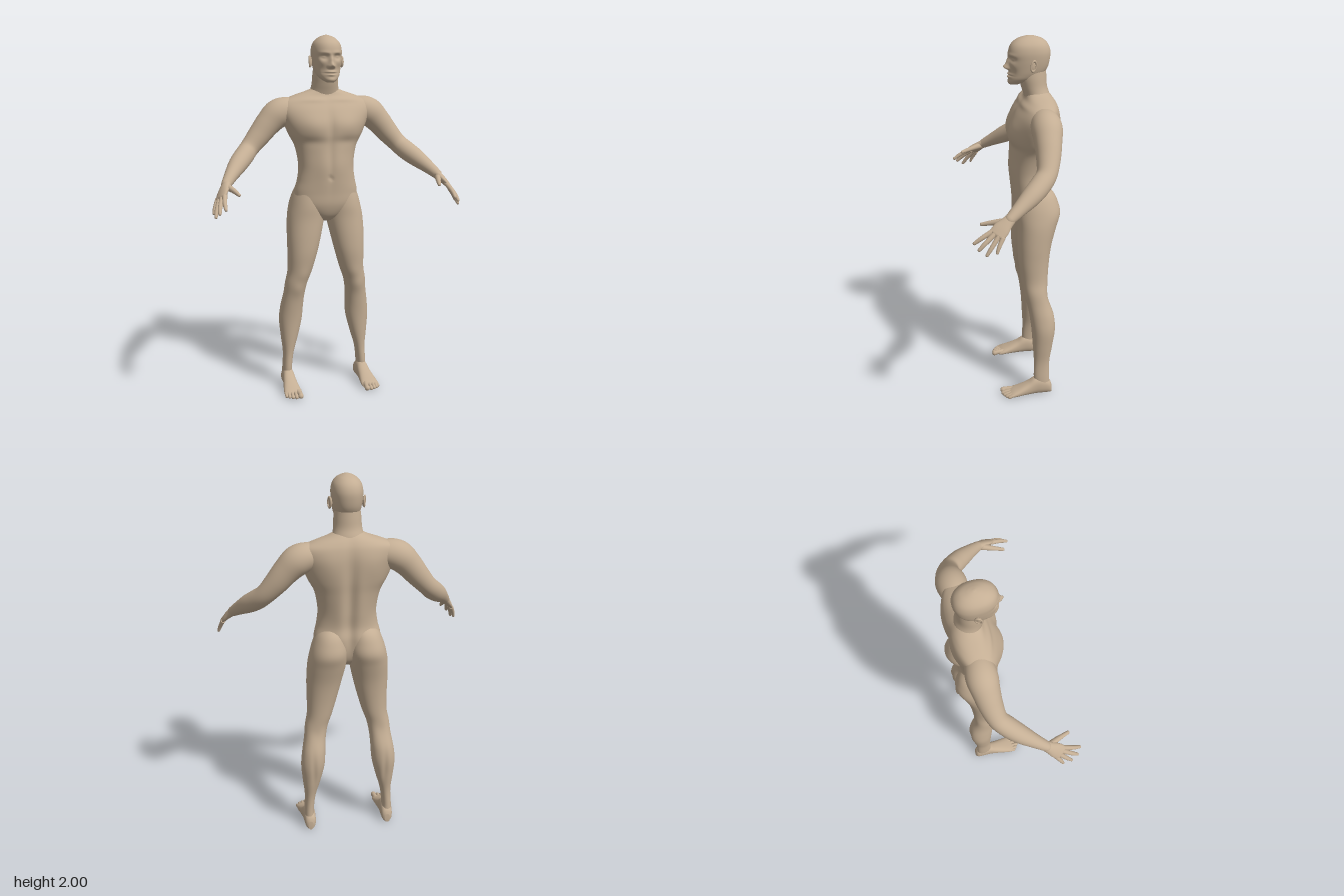
import * as THREE from 'three';

const V = (x, y, z) => new THREE.Vector3(x, y, z);

// Catmull-Rom resampling of a list of number rows
function resample(rows, steps) {
  const out = [], n = rows.length, at = (i) => rows[Math.min(n - 1, Math.max(0, i))];
  for (let i = 0; i < n - 1; i++) {
    for (let s = 0; s < steps; s++) {
      const t = s / steps;
      out.push(at(i).map((p, k) => {
        const a = at(i - 1)[k], c = at(i + 1)[k], d = at(i + 2)[k];
        return p + 0.5 * t * (c - a + t * (2 * a - 5 * p + 4 * c - d + t * (3 * (p - c) + d - a)));
      }));
    }
  }
  out.push(rows[n - 1]);
  return out;
}

// Closed skin over rings of points, capped at both ends
function skin(rings) {
  const m = rings[0].length, pos = [], idx = [];
  rings.forEach((r) => r.forEach((p) => pos.push(p.x, p.y, p.z)));
  for (let i = 0; i < rings.length - 1; i++) {
    for (let j = 0; j < m; j++) {
      const k = (j + 1) % m, a = i * m + j, b = i * m + k;
      idx.push(a, b, a + m, b, b + m, a + m);
    }
  }
  [0, rings.length - 1].forEach((e) => {
    const c = rings[e].reduce((s, p) => s.add(p), V(0, 0, 0)).divideScalar(m);
    const ci = pos.length / 3;
    pos.push(c.x, c.y, c.z);
    for (let j = 0; j < m; j++) {
      const a = e * m + j, b = e * m + (j + 1) % m;
      if (e === 0) idx.push(ci, b, a); else idx.push(ci, a, b);
    }
  });
  const g = new THREE.BufferGeometry();
  g.setAttribute('position', new THREE.Float32BufferAttribute(pos, 3));
  g.setIndex(idx);
  g.computeVertexNormals();
  return g;
}

function ring(c, A, B, sides, power = 2) {
  const f = (v) => Math.sign(v) * Math.pow(Math.abs(v), 2 / power);
  return Array.from({ length: sides }, (_, j) => {
    const t = (j / sides) * Math.PI * 2;
    return c.clone().addScaledVector(A, f(Math.cos(t))).addScaledVector(B, f(Math.sin(t)));
  });
}

// Horizontal sections, bottom up: [y, centre x, half width, front z, back z]
function stack(rows, sides, steps, power) {
  return skin(resample(rows, steps).map(([y, x, w, f, b]) =>
    ring(V(x, y, (f + b) / 2), V(w, 0, 0), V(0, 0, -(f - b) / 2), sides, power)));
}

// Sections across a path: [x, y, z, radius along hint, other radius], with a rounded end
function limb(rows, hint, sides, steps) {
  const pts = resample(rows.map((r) => (r.length < 5 ? [...r, r[3]] : r)), steps);
  const P = pts.map((p) => V(p[0], p[1], p[2]));
  const rings = [];
  let T, A, B;
  pts.forEach((p, i) => {
    T = P[Math.min(i + 1, P.length - 1)].clone().sub(P[Math.max(i - 1, 0)]).normalize();
    A = hint.clone().addScaledVector(T, -hint.dot(T)).normalize();
    B = T.clone().cross(A);
    rings.push(ring(P[i], A.clone().multiplyScalar(p[3]), B.clone().multiplyScalar(p[4]), sides));
  });
  const [, , , a, b] = pts[pts.length - 1];
  for (let k = 1; k <= 4; k++) {
    const t = k * 0.37, c = P[P.length - 1].clone().addScaledVector(T, b * Math.sin(t));
    rings.push(ring(c, A.clone().multiplyScalar(a * Math.cos(t)), B.clone().multiplyScalar(b * Math.cos(t)), sides));
  }
  return skin(rings);
}

// Soft symmetric bumps and hollows: [x, y, spread x, spread y, amount, front 1 / back -1]
function sculpt(g, bumps) {
  const p = g.attributes.position, n = g.attributes.normal;
  for (let i = 0; i < p.count; i++) {
    let dz = 0;
    for (const [x, y, sx, sy, amount, side] of bumps) {
      const u = (Math.abs(p.getX(i)) - x) / sx, v = (p.getY(i) - y) / sy;
      dz += side * amount * Math.exp(-(u * u + v * v) / 2) * Math.min(1, Math.max(0, 1.5 * side * n.getZ(i)));
    }
    p.setZ(i, p.getZ(i) + dz);
  }
  g.computeVertexNormals();
  return g;
}

function mirrored(g) {
  const m = g.clone().scale(-1, 1, 1), a = m.index.array;
  for (let i = 0; i < a.length; i += 3) [a[i], a[i + 1]] = [a[i + 1], a[i]];
  m.computeVertexNormals();
  return m;
}

export function createModel() {
  const model = new THREE.Group();
  const skinTone = new THREE.MeshStandardMaterial({ color: 0xc4ae94 });
  skinTone.name = 'skin';
  const add = (name, g) => {
    const mesh = new THREE.Mesh(g, skinTone);
    mesh.name = name;
    model.add(mesh);
  };
  const pair = (name, g) => {
    add('left' + name, g);
    add('right' + name, mirrored(g));
  };

  // Torso with chest, belly, spine and shoulder blades
  add('torso', sculpt(stack([
    [0.985, 0, 0.03, -0.08, -0.15], [1.02, 0, 0.1, -0.045, -0.19], [1.08, 0, 0.17, -0.022, -0.215],
    [1.15, 0, 0.179, -0.015, -0.225], [1.22, 0, 0.163, -0.008, -0.216], [1.3, 0, 0.155, -0.002, -0.224],
    [1.4, 0, 0.172, -0.006, -0.238], [1.47, 0, 0.207, -0.002, -0.248], [1.54, 0, 0.236, -0.006, -0.252],
    [1.6, 0, 0.255, -0.025, -0.252], [1.645, 0, 0.242, -0.052, -0.245], [1.675, 0, 0.18, -0.075, -0.232],
    [1.7, 0, 0.105, -0.085, -0.213], [1.72, 0, 0.06, -0.09, -0.19],
  ], 112, 7, 2.2), [
    [0.09, 1.515, 0.06, 0.05, 0.017, 1], [0, 1.52, 0.014, 0.07, -0.005, 1], [0.1, 1.435, 0.06, 0.018, -0.006, 1],
    [0, 1.33, 0.012, 0.09, -0.004, 1], [0.045, 1.33, 0.025, 0.09, 0.004, 1], [0, 1.235, 0.007, 0.008, -0.008, 1],
    [0.09, 1.66, 0.06, 0.01, 0.006, 1], [0, 1.4, 0.022, 0.16, -0.018, -1], [0.055, 1.3, 0.03, 0.1, 0.005, -1],
    [0.11, 1.56, 0.05, 0.06, 0.009, -1], [0, 1.15, 0.02, 0.07, -0.012, -1],
  ]));

  add('neck', stack([
    [1.65, 0, 0.1, -0.09, -0.225], [1.7, 0, 0.081, -0.075, -0.211], [1.74, 0, 0.073, -0.062, -0.198],
    [1.79, 0, 0.07, -0.05, -0.194], [1.84, 0, 0.064, -0.05, -0.19],
  ], 48, 5, 2));

  // Head with brow, eyes, nose, lips and chin
  add('head', sculpt(stack([
    [1.752, 0, 0.02, -0.004, -0.05], [1.765, 0, 0.04, 0.002, -0.09], [1.785, 0, 0.058, 0.002, -0.14],
    [1.81, 0, 0.068, 0, -0.18], [1.84, 0, 0.074, 0, -0.2], [1.88, 0, 0.079, 0.002, -0.21],
    [1.92, 0, 0.08, 0.004, -0.212], [1.955, 0, 0.071, -0.008, -0.2], [1.98, 0, 0.05, -0.035, -0.175],
    [1.994, 0, 0.025, -0.07, -0.14], [2, 0, 0.004, -0.1, -0.11],
  ], 144, 9, 2.2), [
    [0.036, 1.886, 0.014, 0.01, -0.016, 1], [0.037, 1.885, 0.009, 0.005, 0.008, 1],
    [0.034, 1.906, 0.022, 0.007, 0.006, 1], [0, 1.866, 0.009, 0.018, 0.014, 1],
    [0, 1.842, 0.01, 0.01, 0.025, 1], [0.013, 1.836, 0.006, 0.006, 0.01, 1],
    [0, 1.807, 0.018, 0.005, 0.009, 1], [0, 1.792, 0.015, 0.005, 0.008, 1],
    [0, 1.8, 0.022, 0.002, -0.006, 1], [0, 1.766, 0.018, 0.011, 0.006, 1],
    [0.052, 1.855, 0.014, 0.014, 0.005, 1], [0.042, 1.82, 0.012, 0.018, -0.004, 1],
  ]));

  // Ears: flat lobe with a raised rim
  const place = (g) => g.rotateY(Math.PI / 2 + 0.35).rotateX(-0.15).translate(0.084, 1.859, -0.112);
  pair('Ear', place(new THREE.SphereGeometry(1, 20, 14).scale(0.016, 0.028, 0.007)));
  pair('EarRim', place(new THREE.TorusGeometry(0.015, 0.004, 8, 28).scale(1, 1.75, 1.2).translate(0, 0, 0.005)));

  // Arms, palms and fingers
  pair('Arm', limb([
    [0.14, 1.595, -0.15, 0.055], [0.2, 1.598, -0.153, 0.072], [0.26, 1.58, -0.155, 0.079], [0.315, 1.53, -0.152, 0.07],
    [0.37, 1.465, -0.145, 0.061], [0.425, 1.403, -0.128, 0.052], [0.465, 1.363, -0.09, 0.053],
    [0.508, 1.325, -0.04, 0.049], [0.555, 1.28, 0.025, 0.036], [0.588, 1.245, 0.075, 0.027],
  ], V(0.5, 0.5, -0.7), 40, 5));
  const across = V(0.4, -0.3, -0.87);
  pair('Palm', limb([
    [0.58, 1.253, 0.062, 0.026, 0.025], [0.598, 1.232, 0.092, 0.032, 0.021],
    [0.615, 1.21, 0.12, 0.041, 0.017], [0.629, 1.189, 0.142, 0.041, 0.013],
  ], across, 28, 5));
  const fingers = {
    Thumb: [[0.588, 1.235, 0.09, 0.019], [0.566, 1.225, 0.145, 0.014], [0.546, 1.21, 0.207, 0.009]],
    IndexFinger: [[0.61, 1.205, 0.152, 0.0135], [0.62, 1.172, 0.212, 0.0115], [0.621, 1.146, 0.25, 0.0085]],
    MiddleFinger: [[0.621, 1.196, 0.145, 0.0135], [0.642, 1.152, 0.2, 0.0115], [0.649, 1.123, 0.23, 0.0085]],
    RingFinger: [[0.633, 1.186, 0.132, 0.013], [0.655, 1.133, 0.172, 0.011], [0.664, 1.1, 0.195, 0.008]],
    LittleFinger: [[0.642, 1.178, 0.115, 0.012], [0.66, 1.138, 0.137, 0.01], [0.668, 1.111, 0.147, 0.0075]],
  };
  for (const [name, rows] of Object.entries(fingers)) pair(name, limb(rows, across, 16, 6));

  // Legs, with buttock, kneecap and calf
  pair('Leg', sculpt(stack([
    [0.04, 0.223, 0.03, -0.125, -0.205], [0.1, 0.225, 0.027, -0.112, -0.2], [0.2, 0.217, 0.03, -0.113, -0.2],
    [0.3, 0.208, 0.049, -0.107, -0.216], [0.4, 0.2, 0.065, -0.1, -0.231], [0.48, 0.193, 0.064, -0.09, -0.227],
    [0.56, 0.183, 0.06, -0.077, -0.203], [0.63, 0.172, 0.063, -0.063, -0.19], [0.7, 0.153, 0.069, -0.048, -0.192],
    [0.8, 0.138, 0.083, -0.033, -0.2], [0.9, 0.126, 0.096, -0.03, -0.215], [1, 0.113, 0.104, -0.032, -0.242],
    [1.07, 0.104, 0.1, -0.03, -0.262], [1.13, 0.098, 0.088, -0.035, -0.25], [1.18, 0.092, 0.07, -0.045, -0.226],
    [1.22, 0.085, 0.04, -0.07, -0.18],
  ], 56, 5, 2.1), [
    [0.175, 0.6, 0.025, 0.03, 0.007, 1], [0.15, 0.68, 0.02, 0.03, 0.004, 1],
    [0.2, 0.38, 0.01, 0.07, -0.006, -1], [0.18, 0.59, 0.025, 0.03, -0.005, -1],
  ]));

  // Feet: sections from heel to ball [z, centre x, half width, top], then toes
  const foot = resample([
    [-0.214, 0.222, 0.014, 0.05], [-0.2, 0.222, 0.029, 0.08], [-0.16, 0.223, 0.034, 0.105], [-0.12, 0.224, 0.035, 0.105],
    [-0.08, 0.226, 0.039, 0.078], [-0.03, 0.228, 0.046, 0.053], [0.01, 0.229, 0.05, 0.036], [0.035, 0.227, 0.043, 0.024],
  ], 5);
  pair('Foot', skin(foot.map(([z, x, w, top]) => ring(V(x, top / 2, z), V(w, 0, 0), V(0, top / 2, 0), 36, 2.3))));
  [[0.197, 0.078, 0.0155], [0.221, 0.075, 0.011], [0.24, 0.067, 0.0105], [0.257, 0.056, 0.01], [0.271, 0.042, 0.0095]]
    .forEach(([x, tip, r], i) => pair('Toe' + (i + 1), limb([
      [x * 0.8 + 0.046, 0.02, tip - 0.075, r], [x, 0.02, tip - 0.035, r * 0.85], [x, r, tip - r, r],
    ], V(1, 0, 0), 16, 4)));

  return model;
}
